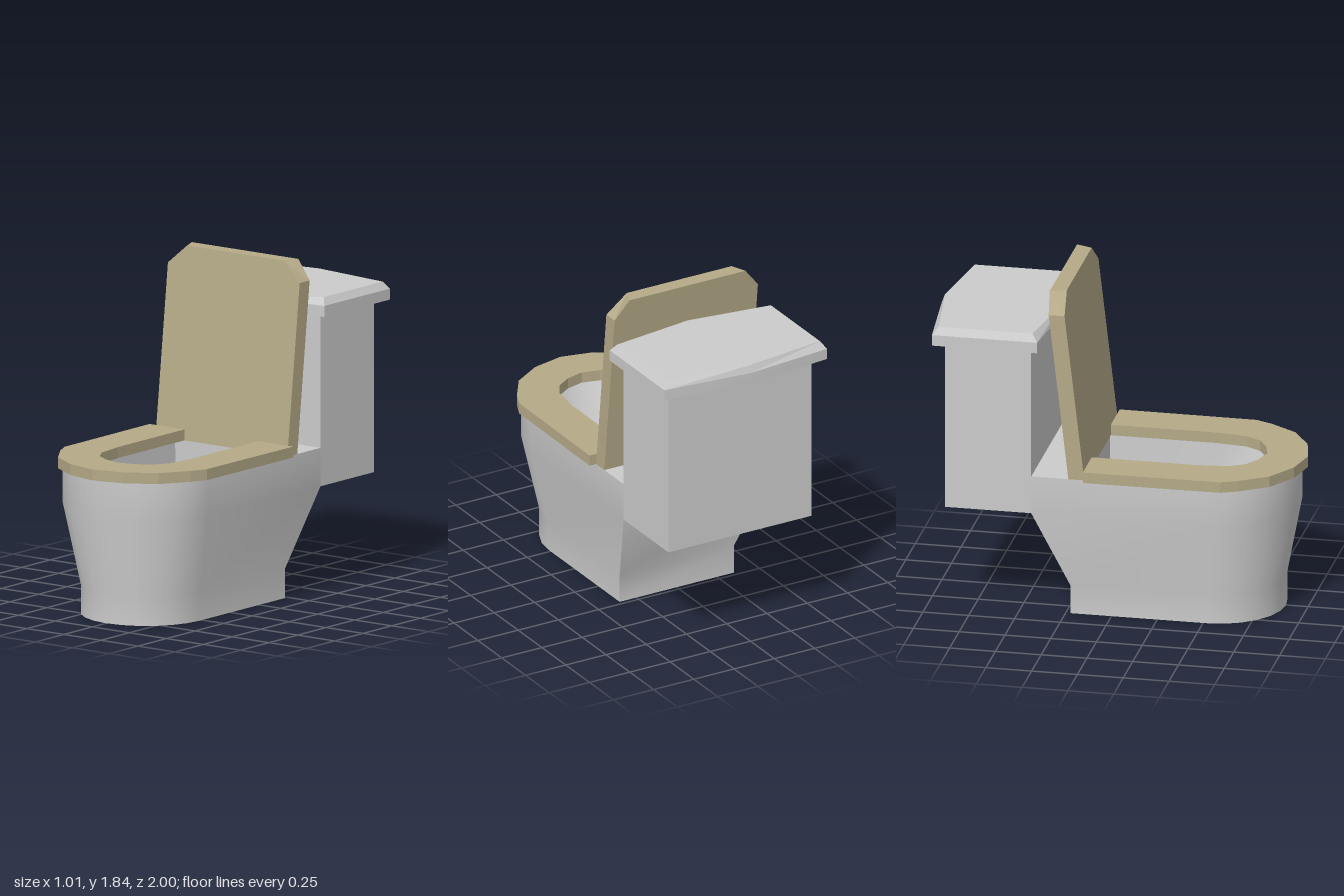
import * as THREE from 'three';
import { toCreasedNormals } from 'three/addons/utils/BufferGeometryUtils.js';

const grey = new THREE.MeshStandardMaterial({ color: 0xcccccc });
const tan = new THREE.MeshStandardMaterial({ color: 0xb5aa88 });

// Skins a stack of equal-length rings and closes both ends with fans
function loft(rings, crease) {
  const n = rings[0].length;
  const pos = [];
  const tri = (...corners) => corners.forEach((c) => pos.push(...c));
  for (let r = 0; r + 1 < rings.length; r++) {
    for (let i = 0; i < n; i++) {
      const j = (i + 1) % n;
      const [a, b, c, d] = [rings[r][i], rings[r][j], rings[r + 1][j], rings[r + 1][i]];
      tri(a, b, c);
      tri(a, c, d);
    }
  }
  const centre = (ring) => [0, 1, 2].map((k) => ring.reduce((s, p) => s + p[k], 0) / n);
  const first = rings[0];
  const last = rings[rings.length - 1];
  for (let i = 0; i < n; i++) {
    const j = (i + 1) % n;
    tri(centre(first), first[j], first[i]);
    tri(centre(last), last[i], last[j]);
  }
  const g = new THREE.BufferGeometry();
  g.setAttribute('position', new THREE.Float32BufferAttribute(pos, 3));
  return toCreasedNormals(g, crease);
}

// Horizontal U outline: rounded front, square back
function uRing(y, halfWidth, front, curveStart, back) {
  const ring = [];
  for (let i = 0; i <= 12; i++) {
    const a = (i / 12 - 0.5) * Math.PI;
    ring.push([halfWidth * Math.sin(a), y, curveStart + (front - curveStart) * Math.cos(a)]);
  }
  ring.push([halfWidth, y, back], [-halfWidth, y, back]);
  return ring;
}

// Six-sided outline of the tank lid, shallow points at front and back
function lidRing(y, hw, frontMid, frontSide, backSide, backMid) {
  return [
    [-hw, y, frontSide], [0, y, frontMid], [hw, y, frontSide],
    [hw, y, backSide], [0, y, backMid], [-hw, y, backSide],
  ];
}

export function createModel() {
  const model = new THREE.Group();
  const add = (name, geometry, material) => {
    const mesh = new THREE.Mesh(geometry, material);
    mesh.name = name;
    model.add(mesh);
    return mesh;
  };

  // Pedestal and bowl: up the outside, over the rim, down into the basin
  add('bowl', loft([
    uRing(0, 0.355, 0.88, 0.52, -0.225),
    uRing(0.16, 0.355, 0.88, 0.52, -0.225),
    uRing(0.59, 0.445, 0.96, 0.56, -0.42),
    uRing(0.8, 0.445, 0.96, 0.56, -0.42),
    uRing(0.8, 0.33, 0.84, 0.5, -0.15),
    uRing(0.54, 0.32, 0.7, 0.4, -0.15),
  ], 0.7), grey);

  // Tank
  add('tank', new THREE.BoxGeometry(0.89, 0.94, 0.47), grey).position.set(0, 1.06, -0.655);

  // Tank lid with bevelled top edge
  add('tankLid', loft([
    lidRing(1.53, 0.505, -0.325, -0.375, -0.95, -1.0),
    lidRing(1.59, 0.505, -0.325, -0.375, -0.95, -1.0),
    lidRing(1.63, 0.478, -0.34, -0.405, -0.92, -0.985),
  ], 0.3), grey);

  // Seat: faceted U, open at the back
  const half = [[0.485, -0.13], [0.48, 0.62], [0.44, 0.71], [0.34, 0.86], [0.18, 0.96]];
  const inner = [[0.1, 0.75], [0.18, 0.7], [0.23, 0.62], [0.25, 0.45], [0.25, -0.13]];
  const mirror = (pts) => pts.map(([x, z]) => [-x, z]).reverse();
  const outline = [...half, [0, 1], ...mirror(half), ...mirror(inner), [0, 0.775], ...inner];
  const seat = new THREE.ExtrudeGeometry(
    new THREE.Shape(outline.map(([x, z]) => new THREE.Vector2(x, z))),
    { depth: 0.06, bevelEnabled: false },
  );
  seat.rotateX(Math.PI / 2).translate(0, 0.86, 0);
  add('seat', seat, tan);

  // Raised cover: leaning slab with clipped top corners
  const coverRing = (depth, topX) => [
    [-0.445, 0.8], [0.445, 0.8], [0.445, 1.73], [topX, 1.835], [-topX, 1.835], [-0.445, 1.73],
  ].map(([x, y]) => [x, y, -0.13 - 0.12 * (y - 0.8) / 1.035 - depth]);
  add('cover', loft([coverRing(0.087, 0.36), coverRing(0, 0.325)], 0.1), tan);

  return model;
}
